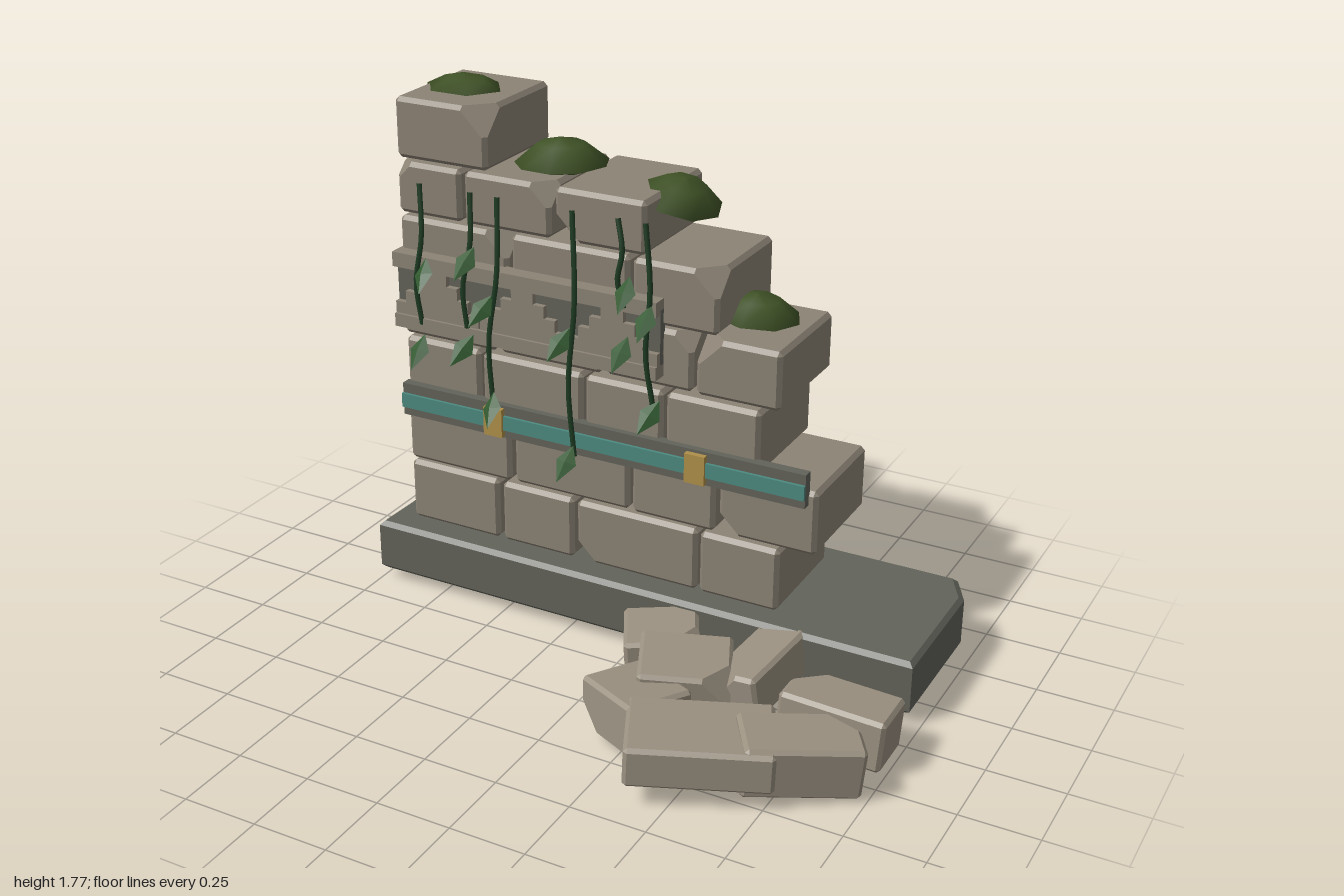
import * as THREE from 'three';
import { ConvexGeometry } from 'three/addons/geometries/ConvexGeometry.js';

const mat = (color, extra = {}) => new THREE.MeshStandardMaterial({ color, ...extra });
const STONE = mat(0x8c8375, { flatShading: true });
const RUBBLE = mat(0x9a9080, { flatShading: true });
const DARK = mat(0x62635a, { flatShading: true });
const TEAL = mat(0x4c8a80);
const GOLD = mat(0xb0904a);
const VINE = mat(0x1f3d24);
const LEAF = mat(0x31592f, { side: THREE.DoubleSide, flatShading: true });
const MOSS = mat(0x3f5226, { side: THREE.DoubleSide });

let seed = 11;
const rand = () => (seed = (seed * 16807) % 2147483647) / 2147483647;

function add(parent, name, geometry, material, x = 0, y = 0, z = 0) {
  const mesh = new THREE.Mesh(geometry, material);
  mesh.name = name;
  mesh.position.set(x, y, z);
  parent.add(mesh);
  return mesh;
}

function group(parent, name) {
  const g = new THREE.Group();
  g.name = name;
  parent.add(g);
  return g;
}

// Box with bevelled edges; corners listed in chips (0-7) are broken off by that length
function stone(w, h, d, bevel, chips = {}) {
  const pts = new Map();
  for (let i = 0; i < 8; i++) {
    const s = [i & 1 ? 1 : -1, i & 2 ? 1 : -1, i & 4 ? 1 : -1];
    const k = chips[i] ?? bevel;
    for (let along = 0; along < 3; along++) {
      for (const side of [1, 2]) {
        const inset = [0, 0, 0];
        inset[along] = k;
        inset[(along + side) % 3] = bevel;
        const p = [w, h, d].map((len, a) => s[a] * (len / 2 - inset[a]));
        pts.set(p.map((v) => v.toFixed(4)).join(), new THREE.Vector3(...p));
      }
    }
  }
  return new ConvexGeometry([...pts.values()]);
}

function buildBase(parent) {
  // Plan outline with broken back corners, stacked at four heights
  const outline = [[-1, -0.11], [0.965, -0.11], [0.965, -0.58], [0.905, -0.69], [-0.955, -0.69], [-0.985, -0.6]];
  const pts = [];
  for (const [y, inset] of [[0.05, 0.015], [0.065, 0], [0.22, 0], [0.235, 0.015]]) {
    for (const [x, z] of outline) {
      pts.push(new THREE.Vector3(x - Math.sign(x) * inset, y, z - Math.sign(z + 0.4) * inset));
    }
  }
  add(parent, 'baseSlab', new ConvexGeometry(pts), DARK);
}

function buildWall(parent) {
  const wall = group(parent, 'wall');
  // Each course: bottom, top, then start and end of every block
  const courses = [
    [0.24, 0.46, [[-0.91, -0.56], [-0.545, -0.27], [-0.257, 0.187], [0.197, 0.475]]],
    [0.47, 0.69, [[-0.91, -0.507], [-0.495, -0.063], [-0.05, 0.247], [0.26, 0.595]]],
    [0.70, 0.92, [[-0.91, -0.62], [-0.607, -0.23], [-0.22, 0.06], [0.07, 0.395]]],
    [0.935, 1.13, [[-0.91, -0.55], [-0.537, -0.16], [-0.15, 0.16], [0.173, 0.46]]],
    [1.14, 1.345, [[-0.91, -0.5], [-0.49, -0.065], [-0.052, 0.245]]],
    [1.357, 1.53, [[-0.91, -0.67], [-0.657, -0.34], [-0.325, -0.005]]],
    [1.54, 1.74, [[-0.91, -0.57]]],
  ];
  for (const [y0, y1, blocks] of courses) {
    for (const [x0, x1] of blocks) {
      const chips = { [Math.floor(rand() * 8)]: 0.05 + rand() * 0.04 };
      const geo = stone(x1 - x0, y1 - y0, 0.4, 0.014, chips);
      add(wall, 'wallBlock', geo, STONE, (x0 + x1) / 2, (y0 + y1) / 2, -0.39 + (rand() - 0.5) * 0.01);
    }
  }
}

function buildFrieze(parent) {
  const frieze = group(parent, 'steppedFrieze');
  const bar = (name, x0, x1, y0, y1, front, material) =>
    add(frieze, name, new THREE.BoxGeometry(x1 - x0, y1 - y0, front + 0.2), material,
      (x0 + x1) / 2, (y0 + y1) / 2, (front - 0.2) / 2);
  bar('friezePanel', -0.91, 0.06, 1.0, 1.2, -0.17, DARK);
  bar('friezeTopRail', -0.91, 0.06, 1.185, 1.235, -0.14, STONE);
  bar('friezeBottomRail', -0.91, 0.06, 0.975, 1.02, -0.14, STONE);
  // Stepped pyramids between the rails
  for (const x of [-0.75, -0.425, -0.1]) {
    for (let i = 0; i < 4; i++) {
      const half = 0.16 - i * 0.04;
      bar('friezeStep', x - half, x + half, 1.02 + i * 0.041, 1.061 + i * 0.041, -0.15, STONE);
    }
  }
}

function buildBand(parent) {
  const band = group(parent, 'inlaidBand');
  add(band, 'bandBacking', new THREE.BoxGeometry(1.475, 0.115, 0.035), DARK, -0.172, 0.702, -0.182);
  add(band, 'bandInlay', new THREE.BoxGeometry(1.475, 0.05, 0.02), TEAL, -0.172, 0.7, -0.164);
  for (const x of [-0.545, 0.195]) {
    add(band, 'bandClasp', new THREE.BoxGeometry(0.07, 0.1, 0.04), GOLD, x, 0.7, -0.165);
  }
}

function buildVines(parent) {
  const vines = group(parent, 'vines');
  // Folded diamond leaf that points down and outwards
  const leaf = new THREE.BufferGeometry();
  leaf.setAttribute('position', new THREE.Float32BufferAttribute(
    [0, 0.05, -0.045, -0.036, 0.005, -0.01, 0.036, 0.005, -0.01, 0, -0.045, 0.045, 0, 0.012, 0.005], 3));
  leaf.setIndex([0, 1, 4, 1, 3, 4, 3, 2, 4, 2, 0, 4]);
  leaf.computeVertexNormals();
  // Each vine: top x, bottom x, bottom y, then its leaves
  const strands = [
    [-0.80, -0.805, 1.0, [[-0.76, 1.19], [-0.79, 0.92]]],
    [-0.61, -0.63, 1.02, [[-0.6, 1.26], [-0.62, 0.96]]],
    [-0.51, -0.54, 0.78, [[-0.545, 1.11], [-0.515, 0.77]]],
    [-0.24, -0.235, 0.65, [[-0.26, 1.05], [-0.24, 0.64]]],
    [-0.08, -0.05, 1.2, [[-0.025, 1.26], [-0.04, 1.06]]],
    [0.015, 0.05, 0.88, [[0.045, 1.18], [0.06, 0.87]]],
  ];
  for (const [x0, x1, y1, leaves] of strands) {
    const at = (t, dx, z) => new THREE.Vector3(x0 + (x1 - x0) * t + dx, 1.48 + (y1 - 1.48) * t, z);
    const path = new THREE.CatmullRomCurve3([at(0, 0, -0.155), at(0.35, 0.015, -0.135), at(0.7, -0.012, -0.135), at(1, 0, -0.145)]);
    add(vines, 'vineStem', new THREE.TubeGeometry(path, 12, 0.009, 5), VINE);
    for (const [x, y] of leaves) {
      add(vines, 'vineLeaf', leaf, LEAF, x, y, -0.09).rotation.z = (rand() - 0.5) * 0.9;
    }
  }
}

function buildMoss(parent) {
  const moss = group(parent, 'moss');
  const profile = [[0, 1], [0.5, 0.8], [1, 0], [0.6, -0.25], [0, -0.3]].map((p) => new THREE.Vector2(...p));
  // Position, radii, height, tilt to the right and side count
  const tufts = [
    [-0.775, 1.735, 0.145, 0.045, 0.12, 0, 6],
    [-0.415, 1.54, 0.16, 0.08, 0.14, 0.05, 9],
    [0.01, 1.485, 0.135, 0.07, 0.15, -0.3, 8],
    [0.28, 1.15, 0.145, 0.07, 0.13, -0.05, 8],
  ];
  for (const [x, y, rx, h, rz, tilt, sides] of tufts) {
    const tuft = add(moss, 'mossTuft', new THREE.LatheGeometry(profile, sides, Math.PI / 2), MOSS, x, y, -0.4);
    tuft.scale.set(rx, h, rz);
    tuft.rotation.z = tilt;
  }
}

function buildRubble(parent) {
  const rubble = group(parent, 'fallenStones');
  // Centre, size, turn, small tilts, and broken corner
  const stones = [
    [0.525, 0.145, 0.46, 0.44, 0.13, 0.29, 0.44, 0, -0.03, -1],
    [0.79, 0.125, 0.345, 0.36, 0.17, 0.2, 0.58, 0.05, -0.08, 3],
    [0.825, 0.13, 0.12, 0.34, 0.17, 0.19, 0.03, -0.05, -0.06, 2],
    [0.515, 0.145, 0.01, 0.16, 0.15, 0.33, -0.1, 0.06, 0.12, 6],
    [0.16, 0.125, -0.01, 0.24, 0.16, 0.22, 0.48, 0.06, 0.05, 7],
    [0.32, 0.15, 0.15, 0.29, 0.15, 0.25, 0.42, 0.08, -0.05, 7],
    [0.25, 0.115, 0.335, 0.27, 0.17, 0.23, -0.5, -0.06, 0.08, 4],
  ];
  for (const [x, y, z, w, h, d, turn, tiltX, tiltZ, chip] of stones) {
    const chips = chip < 0 ? {} : { [chip]: 0.09 };
    add(rubble, 'fallenStone', stone(w, h, d, 0.012, chips), RUBBLE, x, y, z)
      .rotation.set(tiltX, turn, tiltZ, 'YXZ');
  }
}

export function createModel() {
  const model = new THREE.Group();
  model.name = 'ruinedWall';
  buildBase(model);
  buildWall(model);
  buildFrieze(model);
  buildBand(model);
  buildVines(model);
  buildMoss(model);
  buildRubble(model);
  return model;
}
